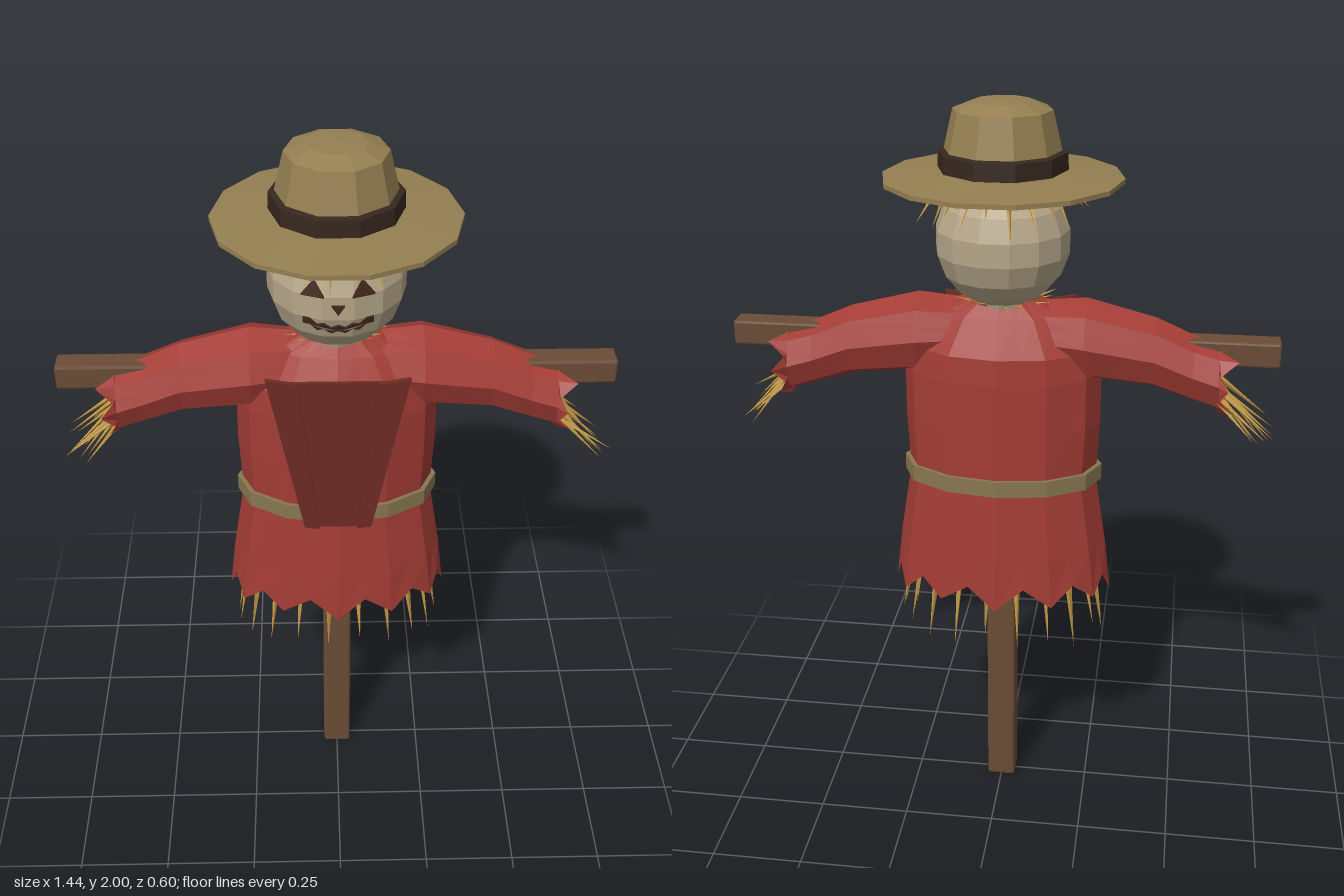
import * as THREE from 'three';
import { RoundedBoxGeometry } from 'three/addons/geometries/RoundedBoxGeometry.js';
import { mergeGeometries } from 'three/addons/utils/BufferGeometryUtils.js';

const paint = (name, color, side = THREE.FrontSide) => {
  const m = new THREE.MeshStandardMaterial({ color, side, flatShading: true });
  m.name = name;
  return m;
};

// Skin over closed rings; point(i, j) gives the j-th corner of ring i
function loft(ringCount, sides, point) {
  const pos = [], index = [];
  for (let i = 0; i < ringCount; i++) {
    for (let j = 0; j < sides; j++) pos.push(...point(i, j));
  }
  for (let i = 0; i < ringCount - 1; i++) {
    for (let j = 0; j < sides; j++) {
      const k = (j + 1) % sides, a = i * sides, b = a + sides;
      index.push(a + j, b + j, a + k, a + k, b + j, b + k);
    }
  }
  const g = new THREE.BufferGeometry();
  g.setAttribute('position', new THREE.Float32BufferAttribute(pos, 3));
  g.setIndex(index);
  g.computeVertexNormals();
  return g;
}

// One tapered straw running from a to its tip b
function straw(a, b, radius = 0.008) {
  const from = new THREE.Vector3(...a), to = new THREE.Vector3(...b);
  const dir = to.clone().sub(from);
  const g = new THREE.ConeGeometry(radius, dir.length(), 4);
  g.applyQuaternion(new THREE.Quaternion().setFromUnitVectors(new THREE.Vector3(0, 1, 0), dir.normalize()));
  g.translate(...from.add(to).multiplyScalar(0.5).toArray());
  return g;
}

const flat = (points, depth) => new THREE.ExtrudeGeometry(
  new THREE.Shape(points.map(([x, y]) => new THREE.Vector2(x, y))), { depth, bevelEnabled: false });

export function createModel() {
  const model = new THREE.Group();
  const red = paint('red cloth', 0xa33c35, THREE.DoubleSide);
  const darkRed = paint('dark red cloth', 0x6e2b23);
  const wood = paint('wood', 0x6a4c36);
  const sack = paint('sackcloth', 0xb5a688);
  const felt = paint('hat felt', 0x957f52);
  const band = paint('dark band', 0x35271e);
  const ink = paint('face brown', 0x40271b);
  const rope = paint('belt tan', 0x887650);
  const gold = paint('straw', 0xbd9443);
  let seed = 7;
  const rand = () => (seed = (seed * 16807) % 2147483647) / 2147483647;
  const add = (name, geometry, material) => {
    const mesh = new THREE.Mesh(geometry, material);
    mesh.name = name;
    model.add(mesh);
    return mesh;
  };

  // Wooden frame
  add('post', new RoundedBoxGeometry(0.08, 1.48, 0.08, 1, 0.008).translate(0, 0.74, 0), wood);
  add('crossbar', new RoundedBoxGeometry(1.44, 0.066, 0.068, 1, 0.006).translate(0, 1.376, 0), wood);

  // Smock: twelve-sided, with hem points between the panel corners
  const body = [[0.65, 0.305, 0.172], [0.8, 0.287, 0.165], [1.0, 0.255, 0.148], [1.16, 0.263, 0.148],
    [1.3, 0.262, 0.148], [1.37, 0.25, 0.143], [1.46, 0.18, 0.09], [1.5, 0.1, 0.065]];
  add('smock', loft(body.length, 24, (i, j) => {
    const [y, rx, rz] = body[i], a = (j / 24) * Math.PI * 2;
    const k = j % 2 ? Math.cos(Math.PI / 12) : 1;
    const hem = i === 0 ? (j % 2 ? 0.065 : (j % 3) * 0.008) : 0;
    return [Math.cos(a) * rx * k, y + hem, Math.sin(a) * rz * k];
  }), red);

  // Belt
  const belt = [[0.99, 0.25, 0.14], [0.99, 0.27, 0.158], [1.035, 0.27, 0.158], [1.035, 0.25, 0.14]];
  add('belt', loft(4, 12, (i, j) => {
    const [y, rx, rz] = belt[i], a = (j / 12) * Math.PI * 2;
    return [Math.cos(a) * rx, y, Math.sin(a) * rz];
  }), rope);

  // Front panel and its two tapering flaps
  add('shirtPanel', flat([[-0.13, 1.44], [-0.07, 0.985], [0.07, 0.985], [0.13, 1.44]], 0.009)
    .translate(0, 0, 0.158), darkRed);
  for (const s of [1, -1]) {
    const outline = [[0.1 * s, 1.44], [0.05 * s, 0.985], [0.088 * s, 0.99], [0.18 * s, 1.455]];
    add(s > 0 ? 'leftLapel' : 'rightLapel', flat(outline, 0.012).translate(0, 0, 0.164), darkRed);
  }

  // Sleeves with ragged cuffs, and straw hands
  const arm = [[0.08, 1.4, 0.09, 0.08], [0.22, 1.395, 0.108, 0.104], [0.4, 1.363, 0.094, 0.086],
    [0.5, 1.325, 0.088, 0.086], [0.565, 1.307, 0.09, 0.092], [0.6, 1.3, 0.1, 0.108]];
  for (const s of [1, -1]) {
    const side = s > 0 ? 'left' : 'right';
    add(side + 'Sleeve', loft(arm.length, 16, (i, j) => {
      const [x, cy, ry, rz] = arm[i], a = (j / 16) * Math.PI * 2;
      const k = j % 2 ? Math.cos(Math.PI / 8) : 1;
      const rag = i === arm.length - 1 ? (j % 2 ? -0.03 : 0.012 * (j % 3) - 0.01) : 0;
      return [s * (x + rag), cy + Math.cos(a) * ry * k, -s * Math.sin(a) * rz * k];
    }), red);
    const hand = [];
    for (let i = 0; i < 11; i++) {
      const t = i / 5 - 1;
      hand.push(straw([s * 0.56, 1.265 + 0.025 * (i % 2), t * 0.06],
        [s * (0.655 + 0.07 * rand()), 1.105 + 0.05 * rand() + 0.03 * t * t, t * 0.095], 0.009));
    }
    add(side + 'HandStraw', mergeGeometries(hand), gold);
  }

  // Straw under the hem, at the collar and below the hat
  const hemStraw = [], collarStraw = [], hairStraw = [];
  for (let i = 0; i < 20; i++) {
    const a = ((i + 0.3) / 20) * Math.PI * 2, c = Math.cos(a), d = Math.sin(a);
    hemStraw.push(straw([c * 0.255, 0.74, d * 0.14], [c * 0.288, 0.515 + 0.06 * rand(), d * 0.172], 0.011));
    const r = 0.11 + 0.04 * rand();
    collarStraw.push(straw([c * 0.06, 1.485, d * 0.05], [c * r, 1.49 + 0.045 * rand(), d * r * 0.9], 0.007));
    const out = 0.19 + 0.035 * rand();
    hairStraw.push(straw([c * 0.14, 1.815, d * 0.14], [c * out, 1.69 + 0.06 * rand(), d * out], 0.01));
  }
  add('hemStraw', mergeGeometries(hemStraw), gold);
  add('collarStraw', mergeGeometries(collarStraw), gold);
  add('hairStraw', mergeGeometries(hairStraw), gold);

  // Sack head, with the gathered neck
  const R = 0.175, headY = 1.65;
  add('head', new THREE.SphereGeometry(R, 14, 9).translate(0, headY, 0), sack);
  add('neck', new THREE.CylinderGeometry(0.085, 0.07, 0.05, 10).translate(0, 1.49, 0), sack);

  // Painted face, wrapped over the head
  const wrap = (name, points) => {
    const g = flat(points, 0.008), p = g.attributes.position;
    for (let i = 0; i < p.count; i++) {
      const x = p.getX(i), y = p.getY(i) - headY;
      p.setZ(i, p.getZ(i) + Math.sqrt(R * R - x * x - y * y));
    }
    g.computeVertexNormals();
    add(name, g, ink);
  };
  for (const s of [1, -1]) {
    wrap(s > 0 ? 'leftEye' : 'rightEye', [[0.033 * s, 1.683], [0.088 * s, 1.683], [0.057 * s, 1.722]]);
  }
  wrap('nose', [[-0.016, 1.664], [0, 1.64], [0.016, 1.664]]);
  const upper = [], lower = [];
  for (let i = 0; i <= 10; i++) {
    const x = -0.085 + 0.017 * i, y = 1.594 + 3.2 * x * x, tooth = i % 2 ? 0.006 : -0.003;
    upper.push([x, y + 0.009 + tooth]);
    lower.unshift([x, y - 0.007 + tooth]);
  }
  wrap('mouth', [...upper, ...lower]);

  // Hat: wide brim, band and crown
  const lathe = (name, points, sides, material) => add(name, new THREE.LatheGeometry(
    points.map(([r, y]) => new THREE.Vector2(r, y)), sides, Math.PI / 2), material);
  lathe('hatBrim', [[0, 1.79], [0.2, 1.79], [0.306, 1.8], [0.306, 1.812], [0.16, 1.825], [0, 1.828]], 14, felt);
  lathe('hatCrown', [[0.152, 1.815], [0.15, 1.87], [0.125, 1.975], [0.075, 1.995], [0, 2]], 10, felt);
  lathe('hatBand', [[0.15, 1.826], [0.165, 1.83], [0.163, 1.873], [0.145, 1.878]], 10, band);
  return model;
}
